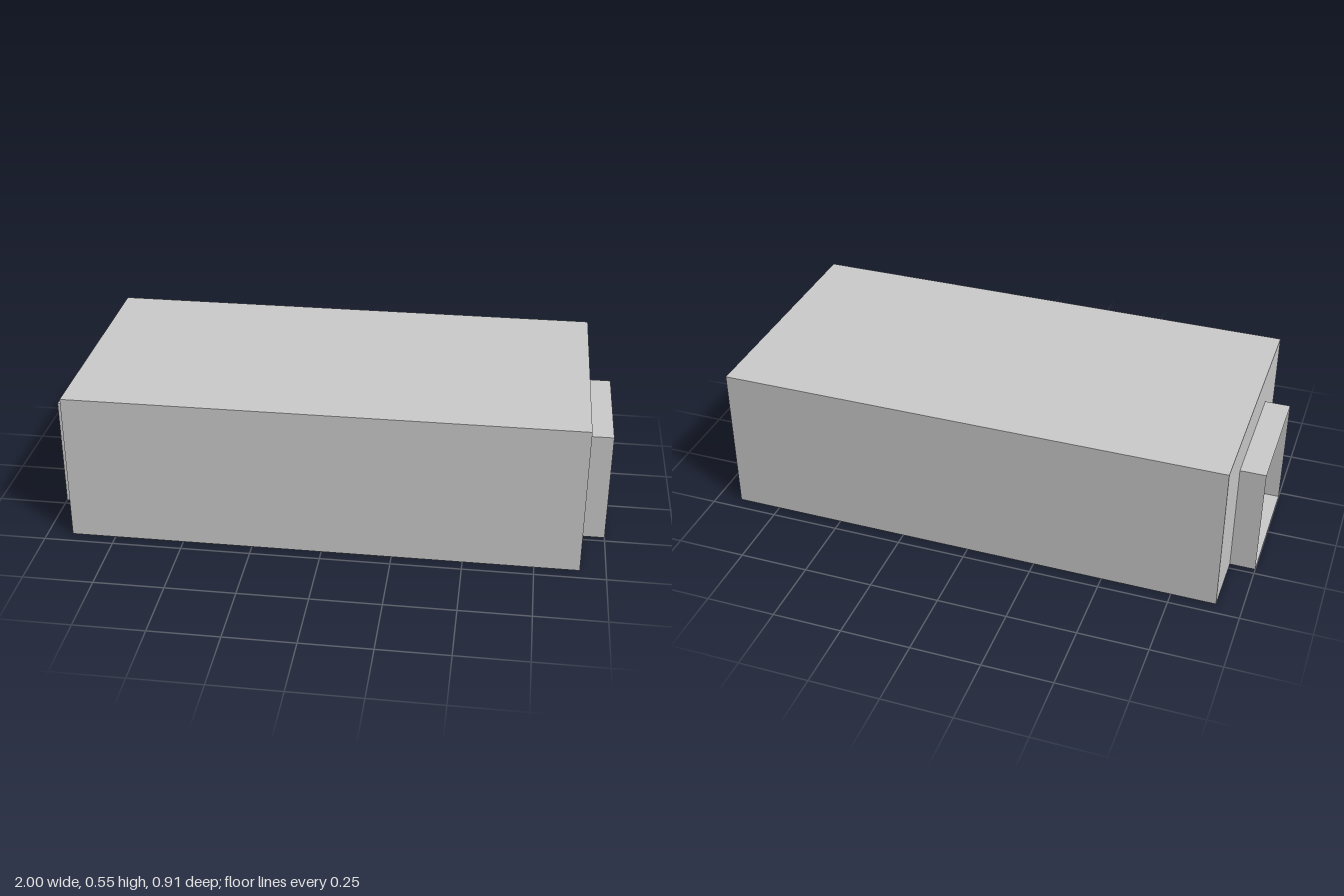
import * as THREE from 'three';

// One module of the building; the whole is 22 modules long
const U = 1 / 11;
const HALF_X = 10 * U, HALF_Z = 5 * U, HEIGHT = 6 * U;
const DOOR_HALF = 2.5 * U, DOOR_HEIGHT = 4.5 * U, PORCH = U;

const material = new THREE.MeshStandardMaterial({ color: 0xcccccc, side: THREE.DoubleSide });

function addMesh(parent, name, geometry, x = 0, y = 0, z = 0) {
  const mesh = new THREE.Mesh(geometry, material);
  mesh.name = name;
  mesh.position.set(x, y, z);
  parent.add(mesh);
}

function sheet(points) {
  return new THREE.ShapeGeometry(new THREE.Shape(points.map(([x, y]) => new THREE.Vector2(x, y))));
}

// End wall, doorway and thin projecting porch, facing +x
function createEnd(name) {
  const end = new THREE.Group();
  end.name = name;

  const wall = sheet([
    [-HALF_Z, 0], [-DOOR_HALF, 0], [-DOOR_HALF, DOOR_HEIGHT], [DOOR_HALF, DOOR_HEIGHT],
    [DOOR_HALF, 0], [HALF_Z, 0], [HALF_Z, HEIGHT], [-HALF_Z, HEIGHT],
  ]).rotateY(Math.PI / 2);
  addMesh(end, 'endWall', wall, HALF_X);

  const porchX = HALF_X + PORCH / 2;
  const flat = () => new THREE.PlaneGeometry(PORCH, 2 * DOOR_HALF).rotateX(-Math.PI / 2);
  addMesh(end, 'porchRoof', flat(), porchX, DOOR_HEIGHT);
  addMesh(end, 'threshold', flat().rotateX(Math.PI), porchX);
  for (const side of [1, -1]) {
    const jamb = new THREE.PlaneGeometry(PORCH, DOOR_HEIGHT);
    if (side < 0) jamb.rotateY(Math.PI);
    addMesh(end, 'porchJamb', jamb, porchX, DOOR_HEIGHT / 2, side * DOOR_HALF);
  }
  return end;
}

export function createModel() {
  const model = new THREE.Group();
  model.name = 'hollowHall';

  // Roof and floor sheets
  const slab = () => new THREE.PlaneGeometry(2 * HALF_X, 2 * HALF_Z).rotateX(-Math.PI / 2);
  addMesh(model, 'roof', slab(), 0, HEIGHT);
  addMesh(model, 'floor', slab().rotateX(Math.PI));

  // Long walls
  const longWall = () => new THREE.PlaneGeometry(2 * HALF_X, HEIGHT);
  addMesh(model, 'frontWall', longWall(), 0, HEIGHT / 2, HALF_Z);
  addMesh(model, 'backWall', longWall().rotateY(Math.PI), 0, HEIGHT / 2, -HALF_Z);

  // Matching open doorways at both ends
  const rightEnd = createEnd('rightEnd');
  rightEnd.rotation.y = Math.PI;
  model.add(createEnd('leftEnd'), rightEnd);
  return model;
}
